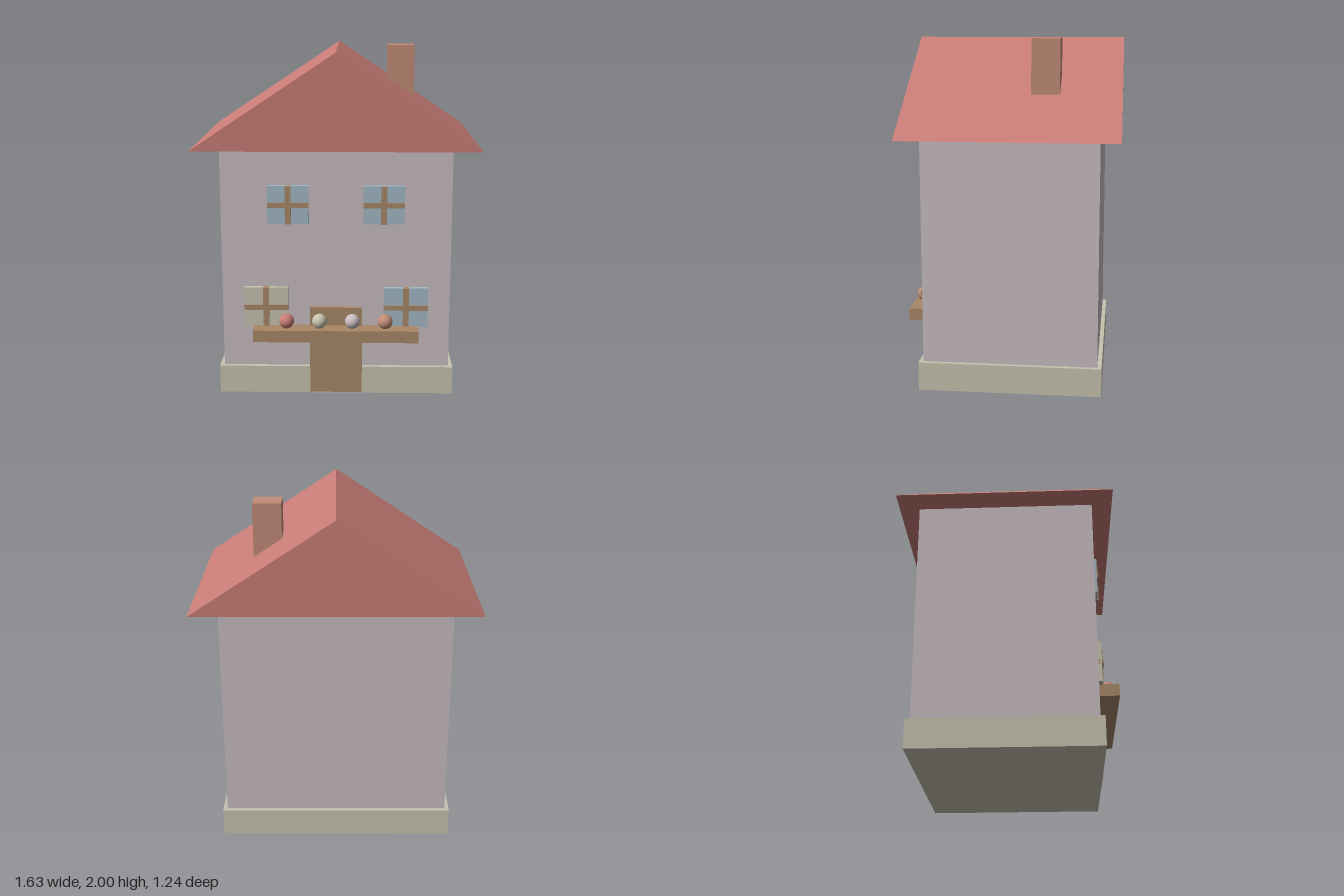
import * as THREE from 'three';

const material = (name, color) => {
  const m = new THREE.MeshStandardMaterial({ color });
  m.name = name;
  return m;
};

export function createModel() {
  const house = new THREE.Group();
  house.name = 'house';

  const roofRed = material('roofRed', 0xc97d77);
  const wallMauve = material('wallMauve', 0xc9bdc2);
  const stone = material('stoneCream', 0xc8c3b0);
  const wood = material('woodBrown', 0xa98868);
  const glass = material('glassBlue', 0xa2b9c7);
  const brick = material('brick', 0xc28c77);

  // Box given by its min and max on each axis
  const box = (name, mat, [x0, x1], [y0, y1], [z0, z1], parent = house) => {
    const mesh = new THREE.Mesh(new THREE.BoxGeometry(x1 - x0, y1 - y0, z1 - z0), mat);
    mesh.position.set((x0 + x1) / 2, (y0 + y1) / 2, (z0 + z1) / 2);
    mesh.name = name;
    parent.add(mesh);
    return mesh;
  };

  // Main masses
  box('foundation', stone, [-0.685, 0.685], [0, 0.165], [-0.525, 0.525]);
  box('walls', wallMauve, [-0.66, 0.66], [0.165, 1.46], [-0.5, 0.5]);
  box('chimney', brick, [0.305, 0.468], [1.6, 2], [-0.265, -0.103]);

  // Gable roof prism
  const gable = new THREE.Shape([
    new THREE.Vector2(-0.815, 1.46),
    new THREE.Vector2(0.815, 1.46),
    new THREE.Vector2(0, 2),
  ]);
  const roofGeometry = new THREE.ExtrudeGeometry(gable, { depth: 1.23, bevelEnabled: false });
  roofGeometry.translate(0, 0, -0.615);
  const roof = new THREE.Mesh(roofGeometry, roofRed);
  roof.name = 'roof';
  house.add(roof);

  // Door and the shelf across it
  box('door', wood, [-0.152, 0.152], [0.005, 0.53], [0.49, 0.527]);
  box('shelf', wood, [-0.475, 0.475], [0.35, 0.42], [0.51, 0.62]);

  // Windows: pane with crossed bars
  const addWindow = (name, x, y, w, h, pane) => {
    const group = new THREE.Group();
    group.name = name;
    group.position.set(x, y, 0);
    box('pane', pane, [-w / 2, w / 2], [-h / 2, h / 2], [0.49, 0.527], group);
    box('verticalBar', wood, [-0.017, 0.017], [-h / 2, h / 2], [0.5, 0.537], group);
    box('horizontalBar', wood, [-w / 2, w / 2], [-0.015, 0.015], [0.5, 0.536], group);
    house.add(group);
  };
  addWindow('upperRightWindow', -0.273, 1.14, 0.235, 0.22, glass);
  addWindow('upperLeftWindow', 0.273, 1.14, 0.235, 0.22, glass);
  addWindow('lowerRightWindow', -0.405, 0.532, 0.255, 0.235, stone);
  addWindow('lowerLeftWindow', 0.405, 0.532, 0.255, 0.235, glass);

  // Row of balls on the shelf
  const ballGeometry = new THREE.SphereGeometry(0.043, 24, 16);
  [roofRed, stone, wallMauve, brick].forEach((mat, i) => {
    const ball = new THREE.Mesh(ballGeometry, mat);
    ball.name = `ball${i + 1}`;
    ball.position.set(-0.285 + i * 0.19, 0.461, 0.565);
    house.add(ball);
  });

  return house;
}
